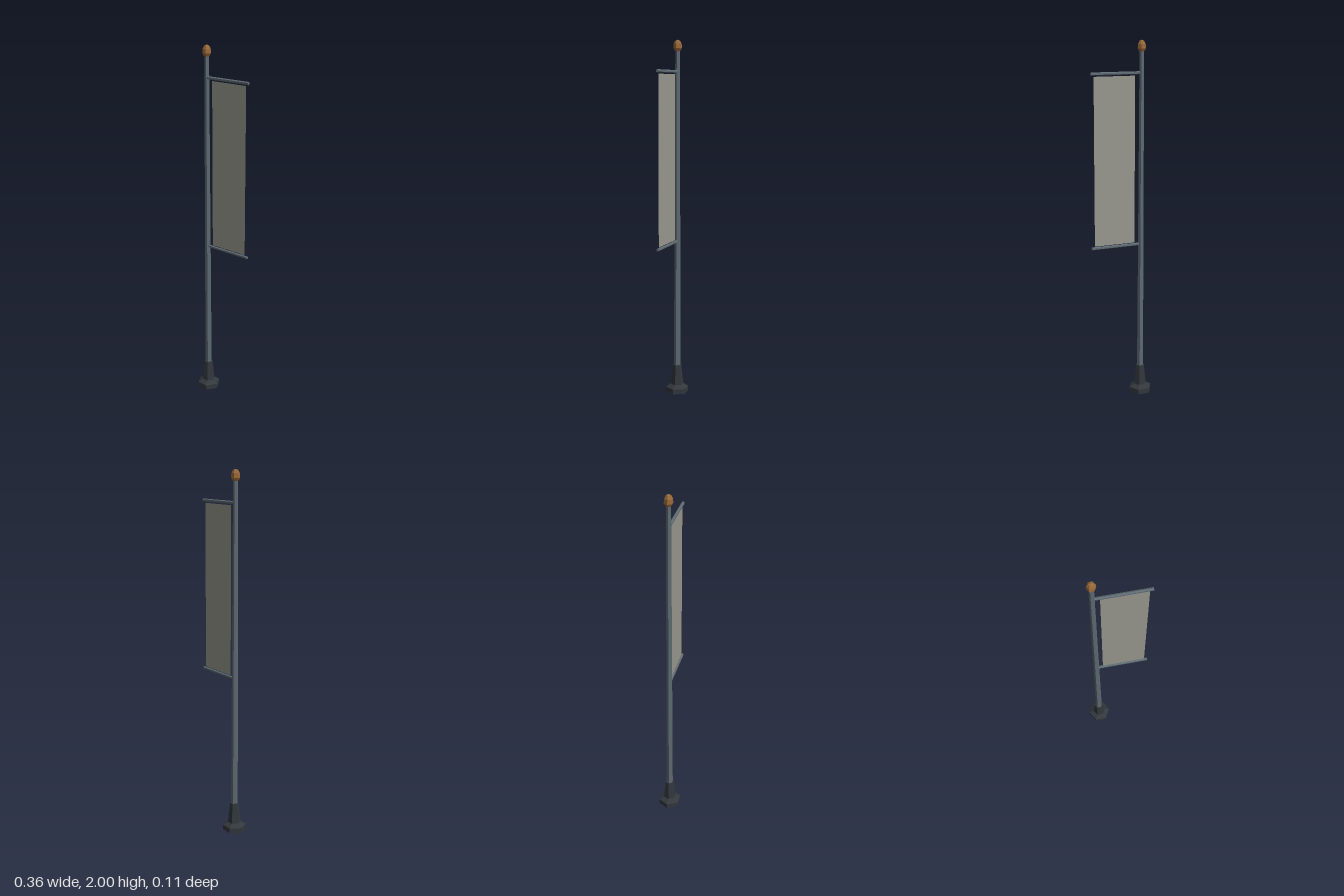
import * as THREE from 'three';

export function createModel() {
  const mat = (name, color, side = THREE.FrontSide) => {
    const m = new THREE.MeshStandardMaterial({ color, side, flatShading: true });
    m.name = name;
    return m;
  };
  const iron = mat('dark iron', 0x33383d);
  const steel = mat('grey steel', 0x5f6b73);
  const brass = mat('aged brass', 0x9a6a3a);
  const cloth = mat('banner cloth', 0x9a9a90, THREE.DoubleSide);

  const model = new THREE.Group();
  model.name = 'bannerPole';
  const poleX = -0.113;

  const add = (name, geometry, material, x, y) => {
    const mesh = new THREE.Mesh(geometry, material);
    mesh.name = name;
    mesh.position.set(x, y, 0);
    model.add(mesh);
    return mesh;
  };
  // Six-sided turned part with corners on the x axis
  const turned = (name, profile, material) => {
    const points = profile.map(([r, y]) => new THREE.Vector2(r, y));
    const geometry = new THREE.LatheGeometry(points, 6, Math.PI / 6);
    return add(name, geometry, material, poleX, 0);
  };

  // Foot plate, sloped shoulder and tapering socket
  turned('base', [[0, 0], [0.065, 0], [0.065, 0.028], [0.036, 0.045], [0.024, 0.16], [0, 0.16]], iron);

  // Tapering shaft
  turned('pole', [[0.019, 0.15], [0.013, 1.95], [0, 1.95]], steel);

  // Acorn finial
  turned('finial', [[0, 1.935], [0.015, 1.94], [0.024, 1.955], [0.022, 1.978], [0.013, 1.994], [0, 2]], brass);

  // Two horizontal arms, each with an edge facing up
  for (const [name, y] of [['upperArm', 1.828], ['lowerArm', 0.886]]) {
    const arm = new THREE.CylinderGeometry(0.0085, 0.0085, 0.287, 6);
    arm.rotateY(Math.PI / 6);
    arm.rotateZ(Math.PI / 2);
    add(name, arm, steel, 0.0335, y);
  }

  // Hanging cloth between the arms
  add('banner', new THREE.PlaneGeometry(0.235, 0.917), cloth, 0.0425, 1.3555);

  return model;
}
